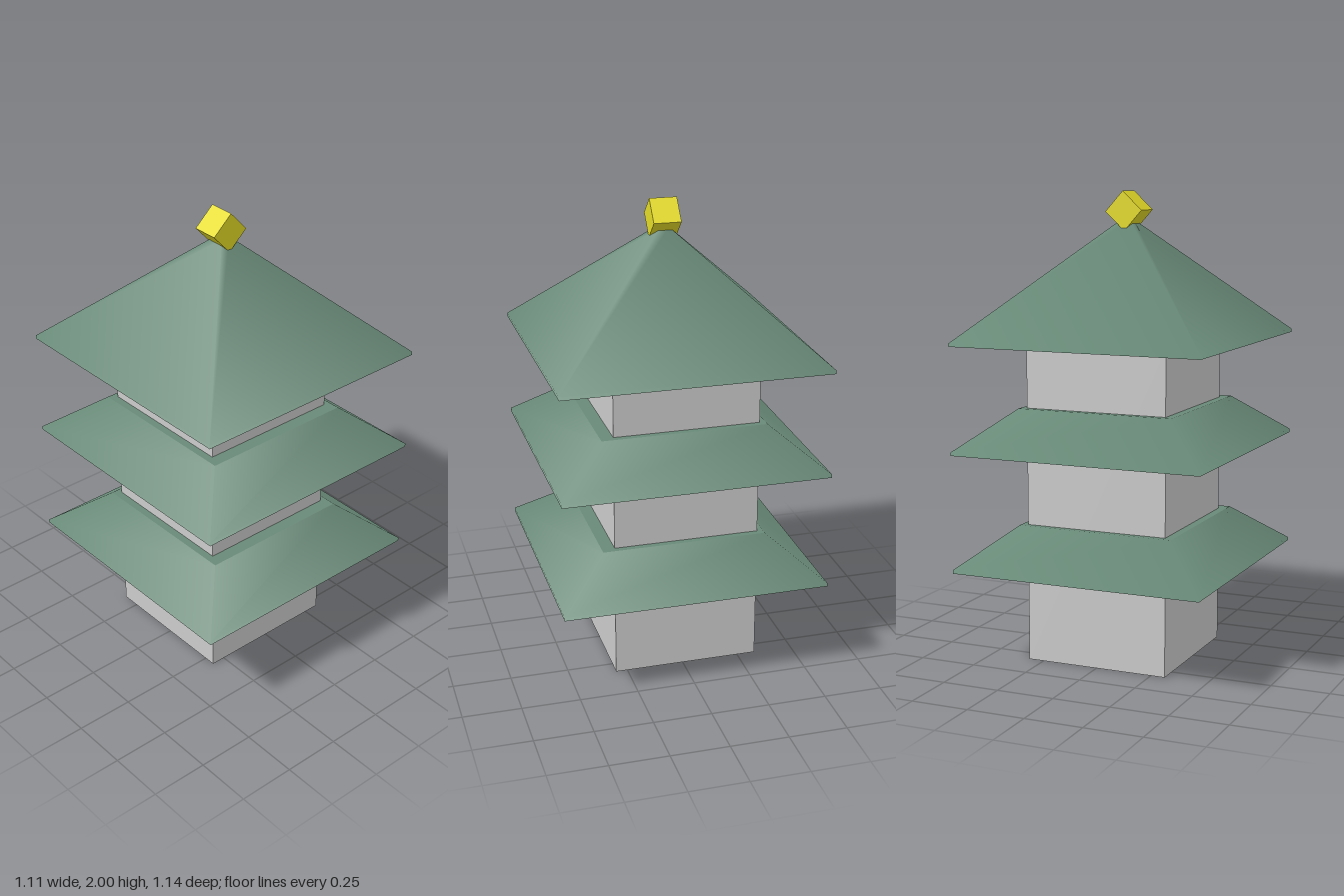
import * as THREE from 'three';

const wallMaterial = new THREE.MeshStandardMaterial({ color: 0xcccccc });
const roofMaterial = new THREE.MeshStandardMaterial({ color: 0x698a78 });
const finialMaterial = new THREE.MeshStandardMaterial({ color: 0xe4db26 });

const HALF_X = 0.553, HALF_Z = 0.569, EAVE = 0.015;

// Four-sided roof with a thin upright eave, softly shaded round its corners.
// topScale is the size of the flat top relative to the eaves.
function makeRoof(name, bottom, top, topScale) {
  const height = top - bottom;
  const geometry = new THREE.CylinderGeometry(topScale * Math.SQRT2, Math.SQRT2, height, 4, 2);
  geometry.rotateY(Math.PI / 4);
  geometry.translate(0, height / 2, 0);

  // Lower the middle ring to the eave line and widen it to the full outline
  const p = geometry.attributes.position;
  for (let i = 0; i < p.count; i++) {
    if (Math.abs(p.getY(i) - height / 2) < 1e-4) {
      p.setXYZ(i, Math.sign(p.getX(i)), EAVE, Math.sign(p.getZ(i)));
    }
  }
  geometry.scale(HALF_X, 1, HALF_Z);

  const roof = new THREE.Mesh(geometry, roofMaterial);
  roof.name = name;
  roof.position.y = bottom;
  return roof;
}

export function createModel() {
  const model = new THREE.Group();
  model.name = 'pagoda';

  // Square tower running through all storeys
  const tower = new THREE.Mesh(new THREE.BoxGeometry(0.63, 1.38, 0.63), wallMaterial);
  tower.name = 'tower';
  tower.position.set(0.003, 0.69, -0.015);
  model.add(tower);

  // Two skirt roofs and the pointed top roof
  model.add(makeRoof('lowerRoof', 0.412, 0.595, 0.625));
  model.add(makeRoof('middleRoof', 0.915, 1.097, 0.625));
  model.add(makeRoof('topRoof', 1.37, 1.88, 0.035));

  // Cube finial balanced on its edge
  const finial = new THREE.Mesh(new THREE.BoxGeometry(0.118, 0.118, 0.117), finialMaterial);
  finial.name = 'finial';
  finial.position.set(-0.007, 1.917, 0);
  finial.rotation.set(0, -0.02, THREE.MathUtils.degToRad(42.5));
  model.add(finial);

  return model;
}
